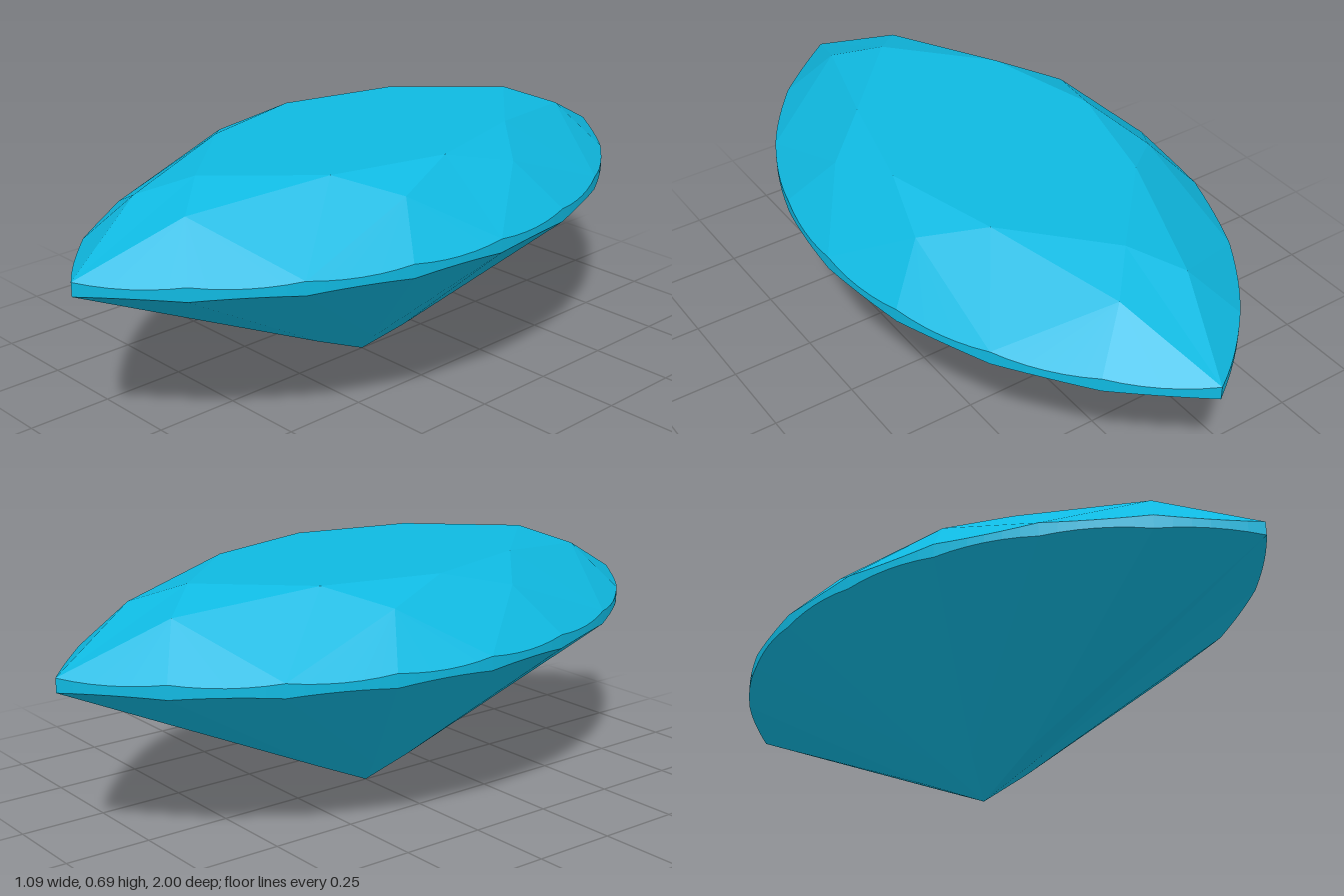
import * as THREE from 'three';

const V = (x, y, z) => new THREE.Vector3(x, y, z);
const CENTRE = V(0, 0.45, 0);
const HALF_WIDTH = 0.543;
const RADIUS = (1 + HALF_WIDTH ** 2) / (2 * HALF_WIDTH); // arc of the pointed oval outline
const TIP_ANGLE = Math.asin(1 / RADIUS);
const STEPS = 6; // outline segments per girdle facet

// Outline point: t = 0 at the pointed tip (+z), t = 4 at the widest point (+x)
function outline(t, y) {
  const a = TIP_ANGLE * (1 - t / 4);
  return V(Math.max(0, RADIUS * Math.cos(a) - RADIUS + HALF_WIDTH), y, RADIUS * Math.sin(a));
}

// Edge of a girdle facet: the outline cut by the plane through inner point m and both ends
function facetEdge(m, k, y) {
  const plane = new THREE.Plane().setFromCoplanarPoints(m, outline(k, y), outline(k + 1, y));
  const n = plane.normal, pts = [];
  for (let i = 0; i <= STEPS; i++) {
    const p = outline(k + i / STEPS, y);
    p.y = -(n.x * p.x + n.z * p.z + plane.constant) / n.y;
    pts.push(p);
  }
  return pts;
}

// Flat-shaded mesh from one quadrant's triangles, mirrored to all four and turned outward
function facetMesh(name, tris, material) {
  const pos = [];
  for (const sx of [1, -1]) for (const sz of [1, -1]) {
    for (const tri of tris) {
      let [a, b, c] = tri.map(p => V(p.x * sx, p.y, p.z * sz));
      const n = b.clone().sub(a).cross(c.clone().sub(a));
      const mid = a.clone().add(b).add(c).divideScalar(3).sub(CENTRE);
      if (n.dot(mid) < 0) [b, c] = [c, b];
      for (const p of [a, b, c]) pos.push(p.x, p.y, p.z);
    }
  }
  const g = new THREE.BufferGeometry();
  g.setAttribute('position', new THREE.Float32BufferAttribute(pos, 3));
  g.computeVertexNormals();
  const mesh = new THREE.Mesh(g, material);
  mesh.name = name;
  return mesh;
}

export function createModel() {
  const group = new THREE.Group();
  group.name = 'marquiseGem';
  const material = new THREE.MeshStandardMaterial({ color: 0x0fb9e1, flatShading: true });

  const topY = 0.51, lowY = 0.47;
  const table = [V(0, 0.695, 0.6), V(0.24, 0.695, 0.34), V(0.328, 0.695, 0)];
  const crownMid = [V(0.11, 0.643, 0.72), V(0.39, 0.643, 0.21)];
  const pavilionMid = [V(0.03, 0.096, 0.2), V(0.114, 0.097, 0.06)];
  const culet = V(0, 0, 0), tableCentre = V(0, 0.695, 0);

  const crown = [], pavilion = [], girdle = [];
  for (let i = 0; i < 2; i++) {
    const m = crownMid[i], p = pavilionMid[i];
    // table and star facets
    crown.push([tableCentre, table[i], table[i + 1]], [table[i], table[i + 1], m]);
    // halves of the kite facets above and below the girdle
    for (const j of [i, i + 1]) {
      crown.push([table[j], m, outline(2 * j, topY)]);
      pavilion.push([culet, p, outline(2 * j, lowY)]);
    }
    // girdle facets and the scalloped band between them
    for (const k of [2 * i, 2 * i + 1]) {
      const up = facetEdge(m, k, topY), low = facetEdge(p, k, lowY);
      for (let s = 0; s < STEPS; s++) {
        crown.push([m, up[s], up[s + 1]]);
        pavilion.push([p, low[s], low[s + 1]]);
        girdle.push([up[s], low[s], low[s + 1]], [up[s], low[s + 1], up[s + 1]]);
      }
    }
  }

  group.add(
    facetMesh('crown', crown, material),
    facetMesh('girdle', girdle, material),
    facetMesh('pavilion', pavilion, material)
  );
  return group;
}
